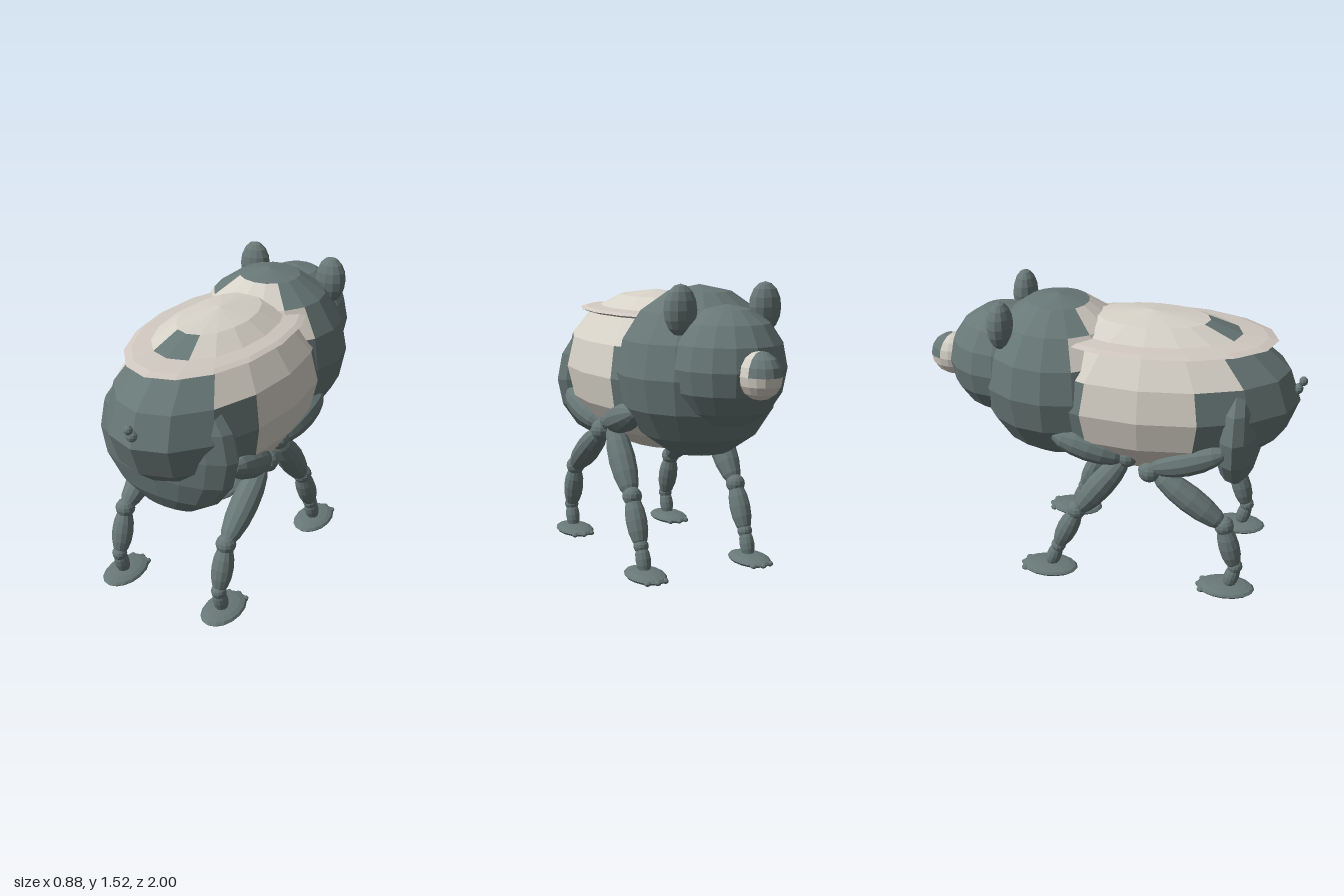
import * as THREE from 'three';

const flat = (name, color) => {
  const m = new THREE.MeshStandardMaterial({ color, flatShading: true });
  m.name = name;
  return m;
};

export function createModel() {
  const root = new THREE.Group();
  root.name = 'bear';
  const grey = flat('slate grey fur', 0x687877);
  const cream = flat('cream fur', 0xd6d1c7);
  const saddleMat = flat('saddle cream', 0xd0c8c0);

  // Faceted ellipsoid, poles along y
  const ball = (name, mat, pos, radii, parent = root, w = 16, h = 8, geo) => {
    const mesh = new THREE.Mesh(geo || new THREE.SphereGeometry(1, w, h), mat);
    mesh.name = name;
    mesh.position.set(...pos);
    mesh.scale.set(...radii);
    parent.add(mesh);
    return mesh;
  };

  // Ellipsoid split into grey and cream faces; isCream(band, degrees from +z)
  const patchedBall = (name, pos, radii, isCream) => {
    const src = new THREE.SphereGeometry(1, 16, 8).toNonIndexed().attributes.position;
    const parts = [[], []];
    const c = new THREE.Vector3(), v = new THREE.Vector3();
    for (let i = 0; i < src.count; i += 3) {
      c.set(0, 0, 0);
      const tri = [];
      for (let k = 0; k < 3; k++) {
        v.fromBufferAttribute(src, i + k);
        c.add(v);
        tri.push(v.x, v.y, v.z);
      }
      const band = Math.floor(Math.acos(c.y / c.length()) / (Math.PI / 8));
      const az = Math.abs(THREE.MathUtils.radToDeg(Math.atan2(c.x, c.z)));
      parts[isCream(band, az) ? 1 : 0].push(...tri);
    }
    const g = new THREE.Group();
    g.name = name;
    root.add(g);
    parts.forEach((p, i) => {
      const geo = new THREE.BufferGeometry();
      geo.setAttribute('position', new THREE.Float32BufferAttribute(p, 3));
      geo.computeVertexNormals();
      ball(name + (i ? 'CreamPatch' : 'Fur'), i ? cream : grey, pos, radii, g, 16, 8, geo);
    });
  };

  // Torso: the cream saddle patch widens toward the top and the belly
  patchedBall('body', [0, 1.03, 0.2], [0.44, 0.43, 0.77], (band, az) =>
    Math.min(az, 180 - az) > 22.5 * Math.min(band, 7 - band));
  patchedBall('shoulders', [0, 1.07, -0.29], [0.42, 0.44, 0.42], (band, az) =>
    (band === 1 && az < 45) || (band === 2 && az < 67.5));
  ball('haunch', grey, [0, 0.93, 0.67], [0.4, 0.38, 0.14]);
  ball('saddleRim', saddleMat, [0, 1.345, 0.2], [0.36, 0.03, 0.64]);

  // Head, muzzle and ears
  ball('head', grey, [0, 1.13, -0.58], [0.29, 0.3, 0.3]);
  patchedBall('muzzle', [0, 1.12, -0.88], [0.1, 0.115, 0.12], (band, az) =>
    band > 3 || az < 112.5);
  for (const s of [1, -1])
    ball('ear', grey, [s * 0.235, 1.405, -0.535], [0.085, 0.125, 0.066], root, 12, 8);

  // Tail
  ball('tailBase', grey, [0, 1.092, 0.955], [0.03, 0.028, 0.025], root, 10, 6);
  ball('tailTip', grey, [0, 1.135, 0.977], [0.023, 0.025, 0.023], root, 10, 6);

  // Ellipsoid stretched between two points
  const limb = (name, a, b, r, parent) => {
    const A = new THREE.Vector3(...a), B = new THREE.Vector3(...b);
    const d = B.clone().sub(A);
    const m = ball(name, grey, A.clone().add(B).multiplyScalar(0.5).toArray(),
      [r, d.length() / 2, r], parent, 12, 8);
    m.quaternion.setFromUnitVectors(new THREE.Vector3(0, 1, 0), d.normalize());
  };

  // Legs: [y, z] of the limb ends, joints and foot
  const legs = [
    { name: 'hindLeg', hip: [[0.865, 0.64], [0.72, 0.25]], joint: [0.7, 0.25, 0.06],
      thigh: [[0.7, 0.26], [0.41, 0.66]], knee: [0.42, 0.645, 0.052],
      shin: [[0.43, 0.64], [0.16, 0.715]], ankle: [0.175, 0.715, 0.04],
      pastern: [[0.19, 0.72], [0.03, 0.68]], foot: 0.67 },
    { name: 'frontLeg', hip: [[0.88, -0.26], [0.76, 0.13]], joint: [0.772, 0.135, 0.055],
      thigh: [[0.77, 0.13], [0.4, -0.14]], knee: [0.415, -0.138, 0.052],
      shin: [[0.43, -0.13], [0.16, -0.25]], ankle: [0.175, -0.243, 0.04],
      pastern: [[0.19, -0.24], [0.03, -0.295]], foot: -0.295 },
  ];
  for (const s of [1, -1]) {
    for (const L of legs) {
      const g = new THREE.Group();
      g.name = (s > 0 ? 'left ' : 'right ') + L.name;
      root.add(g);
      const bone = (name, r, x0, x1) =>
        limb(name, [s * x0, ...L[name][0]], [s * x1, ...L[name][1]], r, g);
      bone('hip', 0.08, 0.34, 0.31);
      bone('thigh', 0.072, 0.3, 0.31);
      bone('shin', 0.056, 0.31, 0.31);
      bone('pastern', 0.04, 0.31, 0.31);
      for (const j of ['joint', 'knee', 'ankle']) {
        const [y, z, r] = L[j];
        ball(j, grey, [s * 0.31, y, z], [r, r, r], g, 12, 8);
      }
      ball('foot', grey, [s * 0.31, 0.035, L.foot], [0.1, 0.03, 0.155], g);
      for (const t of [-1, 0, 1])
        ball('toe', grey, [s * 0.31 + t * 0.05, 0.033, L.foot - 0.14 + Math.abs(t) * 0.015],
          [0.018, 0.014, 0.022], g, 8, 6);
    }
  }
  return root;
}
